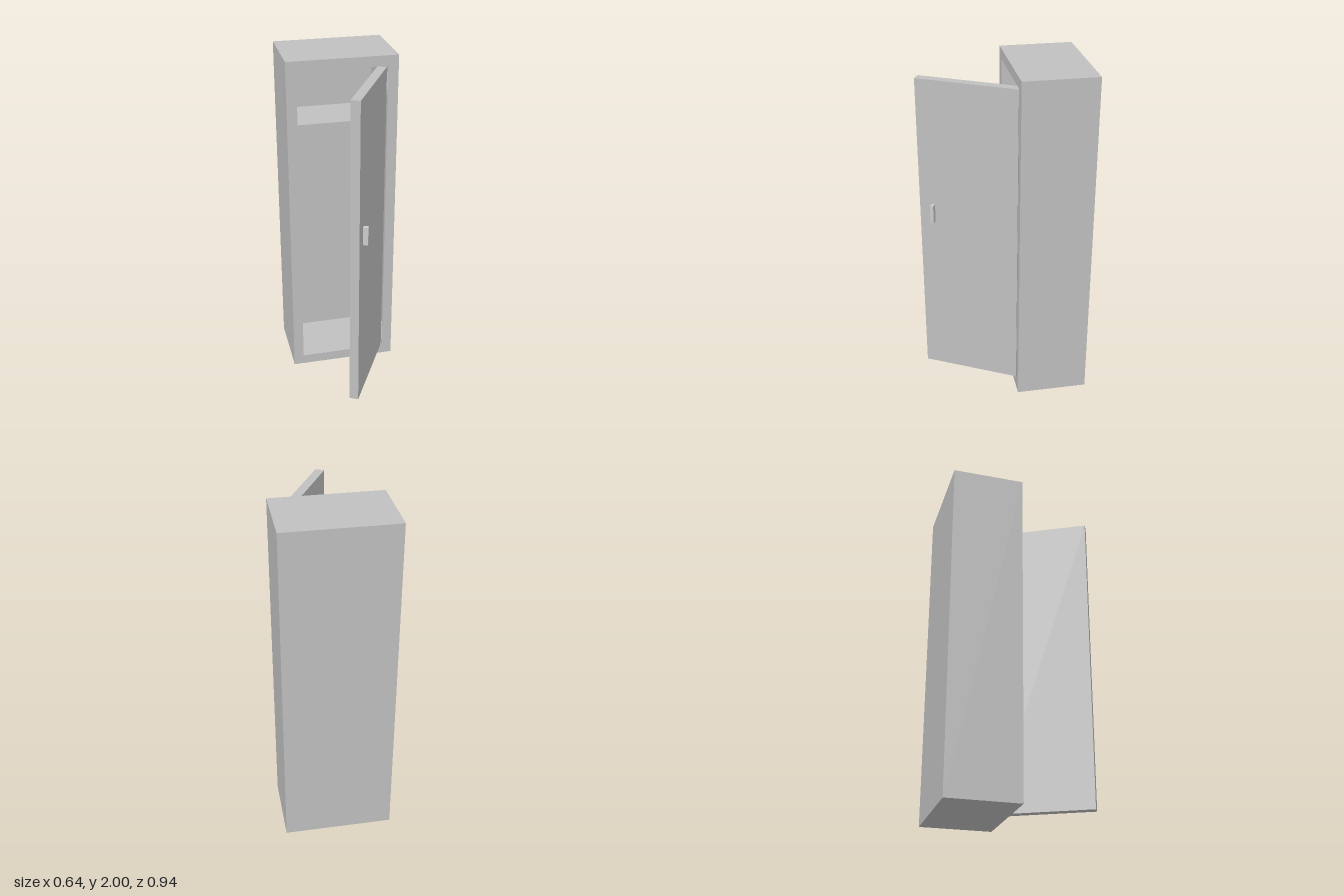
import * as THREE from 'three';

export function createModel() {
  const model = new THREE.Group();
  model.name = 'locker';

  const bodyGrey = new THREE.MeshStandardMaterial({ color: 0xc0c0c0 });
  bodyGrey.name = 'body grey';
  const handleGrey = new THREE.MeshStandardMaterial({ color: 0xcccccc });
  handleGrey.name = 'fitting grey';

  // Box given by its minimum and maximum corners
  function box(name, min, max, material, parent = model) {
    const size = max.map((v, i) => v - min[i]);
    const mesh = new THREE.Mesh(new THREE.BoxGeometry(...size), material);
    mesh.position.set(...max.map((v, i) => (v + min[i]) / 2));
    mesh.name = name;
    parent.add(mesh);
    return mesh;
  }

  const W = 0.32, H = 2, back = -0.473, front = -0.05;
  const wall = 0.06, inner = W - wall;

  // Cabinet walls: a rectangular frame extruded from back to front
  const outline = new THREE.Shape([
    new THREE.Vector2(-W, 0), new THREE.Vector2(W, 0),
    new THREE.Vector2(W, H), new THREE.Vector2(-W, H),
  ]);
  outline.holes.push(new THREE.Path([
    new THREE.Vector2(-inner, wall), new THREE.Vector2(-inner, H - wall),
    new THREE.Vector2(inner, H - wall), new THREE.Vector2(inner, wall),
  ]));
  const frame = new THREE.Mesh(
    new THREE.ExtrudeGeometry(outline, { depth: front - back, bevelEnabled: false }),
    bodyGrey,
  );
  frame.position.z = back;
  frame.name = 'cabinetFrame';
  model.add(frame);

  // Back panel and upper shelf
  box('backPanel', [-inner, wall, back], [inner, H - wall, back + wall], bodyGrey);
  box('shelf', [-inner, 1.56, back + wall], [inner, 1.61, -0.11], bodyGrey);

  // Hinges on the inner side wall
  for (const y of [0.1, 1.77]) {
    box('hinge', [0.25, y, -0.085], [inner, y + 0.13, -0.054], handleGrey);
  }

  // Door standing open, turning about its outer hinge corner
  const door = new THREE.Group();
  door.name = 'door';
  door.position.set(0.252, 0, front);
  door.rotation.y = THREE.MathUtils.degToRad(61.7);
  model.add(door);
  box('doorPanel', [-0.59, 0.07, -0.053], [0, 1.935, 0], bodyGrey, door);
  box('doorHandle', [-0.517, 1.08, 0], [-0.497, 1.19, 0.03], handleGrey, door);

  return model;
}
